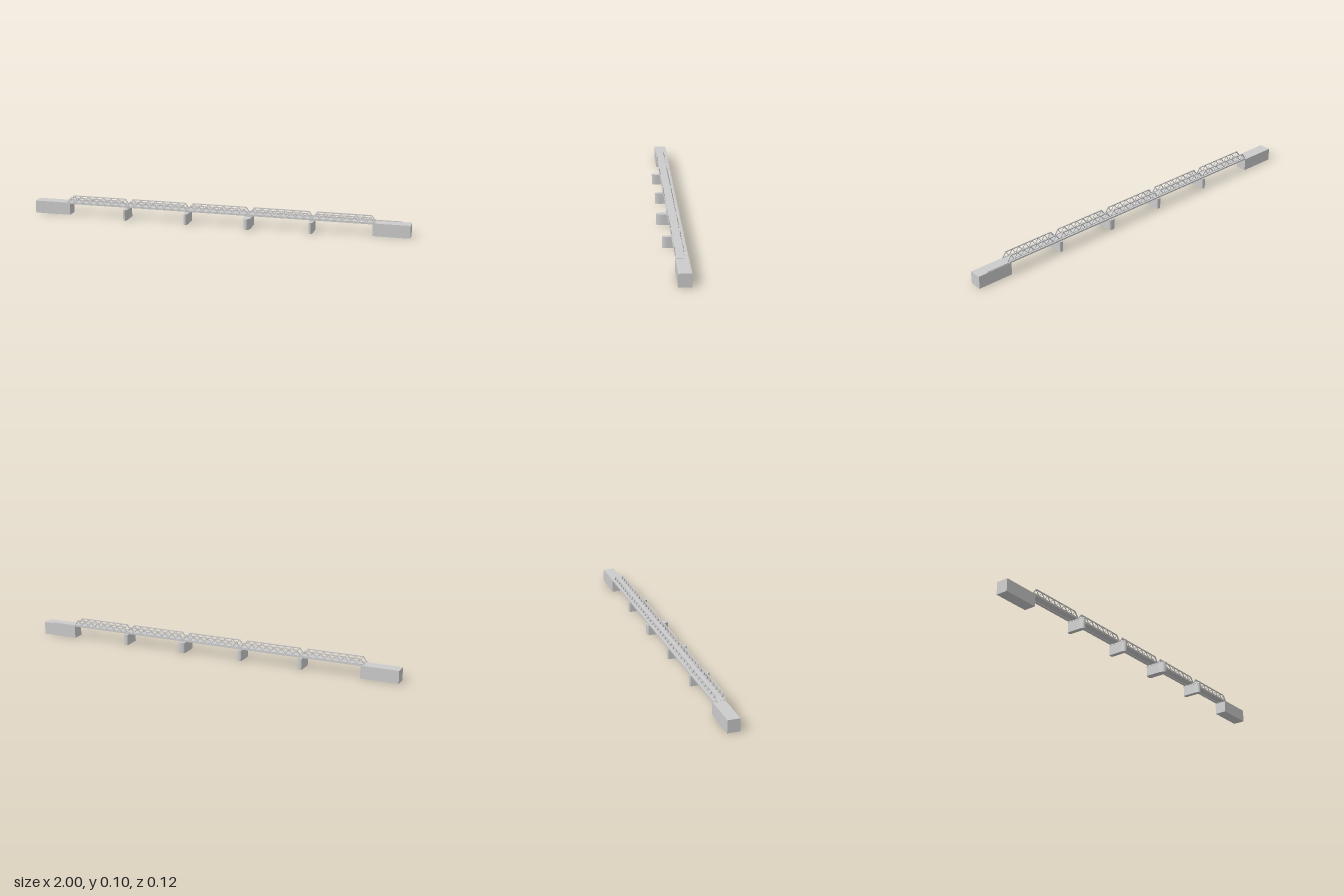
import * as THREE from 'three';

const mat = new THREE.MeshStandardMaterial({ color: 0xcccccc, flatShading: true });
const BACK = -0.055, FRONT = 0.006; // long edges of the roadway
const TRUSS_Z = [0.003, -0.039];
const ENDS = [-0.82, -0.487, -0.157, 0.17, 0.5, 0.82]; // span limits, piers between

function box(parent, name, x0, x1, y0, y1, z0, z1) {
  const m = new THREE.Mesh(new THREE.BoxGeometry(x1 - x0, y1 - y0, z1 - z0), mat);
  m.position.set((x0 + x1) / 2, (y0 + y1) / 2, (z0 + z1) / 2);
  m.name = name;
  parent.add(m);
  return m;
}

// Square bar between two points of a vertical plane at depth z
function bar(parent, name, a, b, z, t) {
  const dx = b[0] - a[0], dy = b[1] - a[1];
  const m = new THREE.Mesh(new THREE.BoxGeometry(Math.hypot(dx, dy) + t * 0.6, t, t), mat);
  m.position.set((a[0] + b[0]) / 2, (a[1] + b[1]) / 2, z);
  m.rotation.z = Math.atan2(dy, dx);
  m.name = name;
  parent.add(m);
}

// Trapezoidal truss with zigzag diagonals
function truss(x0, x1, z) {
  const g = new THREE.Group();
  g.name = 'truss';
  const n = 8, p = (x1 - x0) / n, low = 0.067, high = 0.094;
  bar(g, 'topChord', [x0 + p / 2, high], [x1 - p / 2, high], z, 0.005);
  bar(g, 'bottomChord', [x0, low], [x1, low], z, 0.005);
  for (let i = 0; i < n; i++) {
    const a = x0 + i * p, top = [a + p / 2, high];
    bar(g, 'diagonal', [a, low], top, z, i === 0 ? 0.005 : 0.0035);
    bar(g, 'diagonal', top, [a + p, low], z, i === n - 1 ? 0.005 : 0.0035);
  }
  return g;
}

// Plan outline: pointed, curved nose in front and a blunt rounded back
function pierSlab(w, zBack, zNose, y0, y1, name) {
  const h = w / 2, s = new THREE.Shape();
  // shape y is -z
  s.moveTo(-h, -(zNose - w * 1.1));
  s.quadraticCurveTo(-h * 0.95, -(zNose - w * 0.3), -h * 0.25, -zNose);
  s.lineTo(h * 0.25, -zNose);
  s.quadraticCurveTo(h * 0.95, -(zNose - w * 0.3), h, -(zNose - w * 1.1));
  s.lineTo(h, -(zBack + h * 0.5));
  s.quadraticCurveTo(h * 0.9, -zBack, 0, -zBack);
  s.quadraticCurveTo(-h * 0.9, -zBack, -h, -(zBack + h * 0.5));
  s.closePath();
  const geo = new THREE.ExtrudeGeometry(s, { depth: y1 - y0, bevelEnabled: false, curveSegments: 5 });
  geo.rotateX(-Math.PI / 2);
  const m = new THREE.Mesh(geo, mat);
  m.position.y = y0;
  m.name = name;
  return m;
}

function pier(x, w, zBack, zNose) {
  const g = new THREE.Group();
  g.name = 'pier';
  g.add(pierSlab(w * 0.9, zBack + 0.001, zNose - 0.001, 0, 0.053, 'pierShaft'));
  g.add(pierSlab(w, zBack, zNose, 0.052, 0.057, 'pierCap'));
  // bearing blocks carrying the girders
  for (const z of TRUSS_Z) box(g, 'bearing', -w * 0.35, w * 0.35, 0.057, 0.062, z - 0.004, z + 0.004);
  g.position.x = x;
  return g;
}

export function createModel() {
  const model = new THREE.Group();
  model.name = 'trussBridge';

  // Abutments
  box(model, 'rightAbutment', -1, -0.805, 0, 0.066, BACK - 0.002, FRONT);
  box(model, 'leftAbutment', 0.81, 1, 0, 0.066, BACK - 0.002, FRONT);
  box(model, 'abutmentKerb', 0.81, 0.95, 0.066, 0.07, BACK, BACK + 0.003);

  // Deck with girders below and a kerb along the footway
  box(model, 'deck', -0.81, 0.815, 0.063, 0.067, BACK, FRONT);
  box(model, 'footwayKerb', -0.81, 0.815, 0.067, 0.071, BACK, BACK + 0.002);
  for (const z of TRUSS_Z) box(model, 'girder', -0.81, 0.815, 0.06, 0.064, z - 0.0025, z + 0.0025);

  // Spans
  for (let i = 0; i < 5; i++) {
    for (const z of TRUSS_Z) model.add(truss(ENDS[i] + 0.002, ENDS[i + 1] - 0.002, z));
  }

  // Piers, the third one larger
  for (let i = 1; i < 5; i++) {
    model.add(i === 3 ? pier(ENDS[i], 0.04, -0.06, 0.06) : pier(ENDS[i], 0.026, -0.056, 0.049));
  }
  return model;
}
